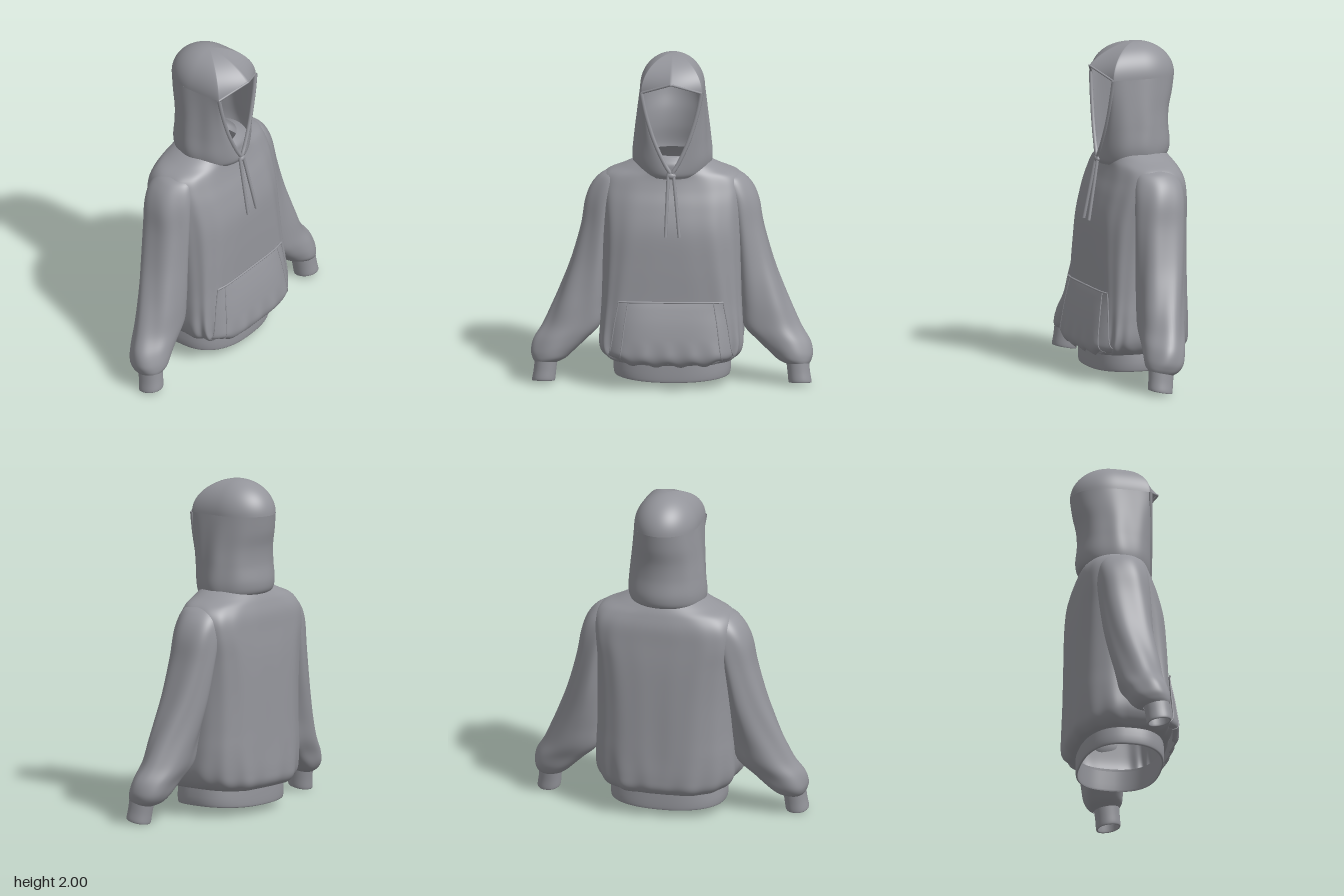
import * as THREE from 'three';

const fabric = new THREE.MeshStandardMaterial({ color: 0x94959b, side: THREE.DoubleSide });
fabric.name = 'grey fabric';

// Smooth interpolation between the rows of a station table
function station(table, t) {
  const last = table.length - 1;
  const i = Math.min(Math.floor(t), last - 1), f = t - i;
  const a = table[Math.max(i - 1, 0)], b = table[i], c = table[i + 1], d = table[Math.min(i + 2, last)];
  return b.map((v, k) => {
    const m0 = (c[k] - a[k]) / 2, m1 = (d[k] - v) / 2;
    return v + f * (m0 + f * (3 * (c[k] - v) - 2 * m0 - m1 + f * (2 * (v - c[k]) + m0 + m1)));
  });
}

// Surface from a rule: point(u, v) for u, v in 0..1; u may wrap around
function surface(name, point, nu, nv, wrap = false, flip = false) {
  const pos = [], idx = [], cols = wrap ? nu : nu + 1;
  for (let j = 0; j <= nv; j++) for (let i = 0; i < cols; i++) pos.push(...point(i / nu, j / nv));
  for (let j = 0; j < nv; j++) for (let i = 0; i < nu; i++) {
    const i2 = (i + 1) % cols;
    const a = j * cols + i, b = j * cols + i2, c = a + cols, d = b + cols;
    if (flip) idx.push(a, c, b, b, c, d);
    else idx.push(a, b, c, b, d, c);
  }
  const g = new THREE.BufferGeometry();
  g.setAttribute('position', new THREE.Float32BufferAttribute(pos, 3));
  g.setIndex(idx);
  g.computeVertexNormals();
  const mesh = new THREE.Mesh(g, fabric);
  mesh.name = name;
  return mesh;
}

function tube(name, pts, r) {
  const curve = new THREE.CatmullRomCurve3(pts.map(p => new THREE.Vector3(...p)));
  const mesh = new THREE.Mesh(new THREE.TubeGeometry(curve, 48, r, 8), fabric);
  mesh.name = name;
  return mesh;
}

const pw = (v, e) => Math.sign(v) * Math.pow(Math.abs(v), e);
// Rounded-box ring: x0..x1, z0..z1, front and back exponents; u = 0 faces the front
function ring(u, x0, x1, z0, z1, nf, nb, k = 1) {
  const a = u * Math.PI * 2, c = Math.cos(a), n = c > 0 ? nf : nb;
  return [(x0 + x1) / 2 + (x1 - x0) / 2 * pw(Math.sin(a), 2 / n) * k,
    (z0 + z1) / 2 + (z1 - z0) / 2 * pw(c, 2 / n) * k];
}

// Torso: y, half width, back z, front z, front exponent, back exponent, gather depth
const TORSO = [
  [0.15, 0.345, -0.25, 0.245, 2.8, 2.6, 0.0],
  [0.16, 0.378, -0.295, 0.262, 4, 2.5, 0.028],
  [0.2, 0.412, -0.328, 0.268, 5.6, 2.4, 0.03],
  [0.27, 0.428, -0.334, 0.262, 6, 2.4, 0.02],
  [0.4, 0.425, -0.328, 0.253, 5.6, 2.6, 0.01],
  [0.54, 0.418, -0.322, 0.248, 4.8, 2.7, 0.007],
  [0.75, 0.415, -0.314, 0.245, 3.8, 2.9, 0.007],
  [0.95, 0.42, -0.304, 0.235, 3.1, 3.3, 0.007],
  [1.1, 0.43, -0.29, 0.2, 2.8, 3.8, 0.006],
  [1.2, 0.43, -0.28, 0.165, 2.6, 3.4, 0.005],
  [1.27, 0.398, -0.26, 0.145, 2.4, 2.7, 0.003],
  [1.315, 0.302, -0.24, 0.14, 2.2, 2.3, 0],
  [1.36, 0.215, -0.21, 0.135, 2, 2, 0],
  [1.395, 0.16, -0.18, 0.1, 2, 2, 0],
];
function torsoPoint(u, v) {
  const [y, w, zb, zf, nf, nb, g] = station(TORSO, v * (TORSO.length - 1));
  const k = 1 + g * Math.cos(u * Math.PI * 28) * (0.7 + 0.3 * Math.sin(u * 17));
  const [x, z] = ring(u, -w, w, zb, zf, nf, nb, k);
  // Hollow down the middle of the back, side corners lifted above the band
  const hollow = z < 0 ? 0.018 * Math.exp(-((x / 0.08) ** 2)) * Math.max(0, 1 - y / 1.2) : 0;
  const lift = 0.03 * Math.pow(Math.abs(x) / 0.42, 4) * Math.max(0, 1 - (y - 0.15) / 0.2);
  return [x, y + lift, z + hollow];
}

// Front pocket, following the torso front with a sagging, gathered bulge
function pocketPoint(s, t) {
  const [y, w, zb, zf, n] = station(TORSO, 1 + 4 * t);
  const half = 0.372 - 0.06 * t * t;
  const x = s * half, zc = (zb + zf) / 2;
  const z = zc + (zf - zc) * Math.pow(1 - Math.pow(Math.abs(x) / w, n), 1 / n);
  const sag = Math.pow(Math.max(0, Math.sin(Math.PI * (0.12 + t * 0.88))), 0.8) * 0.05;
  const low = Math.max(0, 1 - 1.7 * t);
  const fold = 0.01 * Math.cos(s * 16 + 0.6) * low;
  const edge = 1 - Math.pow(Math.abs(s), 4);
  const hem = (0.045 * s ** 4 + 0.012 * Math.cos(s * 16 + 0.6)) * low;
  return [x, y + hem, z + 0.01 + (sag + fold) * edge];
}

// Sleeve: y, inner x, outer x, back z, front z
const SLEEVE = [
  [1.275, 0.32, 0.39, -0.13, 0.02],
  [1.25, 0.29, 0.437, -0.17, 0.06],
  [1.19, 0.29, 0.487, -0.205, 0.08],
  [1.1, 0.32, 0.523, -0.213, 0.09],
  [0.95, 0.35, 0.55, -0.205, 0.098],
  [0.75, 0.37, 0.605, -0.185, 0.108],
  [0.6, 0.385, 0.66, -0.162, 0.12],
  [0.48, 0.4, 0.71, -0.142, 0.13],
  [0.36, 0.42, 0.765, -0.123, 0.138],
  [0.27, 0.51, 0.822, -0.095, 0.15],
  [0.2, 0.585, 0.84, -0.075, 0.158],
  [0.155, 0.635, 0.832, -0.045, 0.158],
  [0.13, 0.685, 0.818, -0.005, 0.148],
];
function sleevePoint(side) {
  return (u, v) => {
    const [y, x0, x1, z0, z1] = station(SLEEVE, v * (SLEEVE.length - 1));
    const k = 1 + 0.045 * Math.sin(Math.PI * v) * Math.sin(u * Math.PI * 10 + v * 9);
    const [x, z] = ring(u, x0, x1, z0, z1, 2.15, 2.15, k);
    // Fuller beside the body, thinner along the outer edge
    const zc = (z0 + z1) / 2;
    const taper = 1 - 0.2 * (1 - v) * (2 * x - x0 - x1) / (x1 - x0);
    return [side * x, y + 0.2 * (z - 0.085) * v * v, zc + (z - zc) * taper];
  };
}

// Cuff: outer wall, hem, inner wall, with a tilted opening
const CUFF = [
  [0.15, 0.682, 0.818, -0.005, 0.147],
  [0.08, 0.69, 0.825, 0.006, 0.152],
  [0.024, 0.696, 0.834, 0.012, 0.158],
  [0.016, 0.703, 0.827, 0.019, 0.151],
  [0.03, 0.708, 0.822, 0.024, 0.146],
  [0.13, 0.7, 0.81, 0.015, 0.135],
];
function cuffPoint(side) {
  return (u, v) => {
    const [y, x0, x1, z0, z1] = station(CUFF, v * (CUFF.length - 1));
    const [x, z] = ring(u, x0, x1, z0, z1, 2.15, 2.15);
    return [side * x, y + 0.2 * (z - 0.085), z];
  };
}

// Hood: y, half width, opening half width, side z, opening z, back z
const HOOD = [
  [1.305, 0.195, 0, -0.03, 0.165, -0.2],
  [1.325, 0.224, 0.002, -0.04, 0.18, -0.25],
  [1.39, 0.236, 0.045, -0.04, 0.176, -0.266],
  [1.5, 0.226, 0.098, -0.05, 0.167, -0.256],
  [1.6, 0.215, 0.133, -0.05, 0.16, -0.262],
  [1.7, 0.204, 0.16, -0.055, 0.155, -0.285],
  [1.8, 0.193, 0.18, -0.06, 0.15, -0.3],
];
// q = 0 at the right edge of the opening, 1 at the left edge
function hoodPoint(q, v) {
  const [y, a, w, zc, zf, zb] = station(HOOD, v * (HOOD.length - 1));
  const ang = q * Math.PI * 2, s = Math.sin(ang), c = Math.cos(ang);
  const side = q < 0.5 ? -1 : 1;
  const front = c > 0;
  const k = 1 + 0.018 * Math.cos(ang * 8) * s * s * Math.sin(Math.PI * v);
  const x = front ? w + (a - w) * Math.abs(s) : a * Math.abs(s);
  const z = zc + (front ? zf - zc : zc - zb) * c;
  return [side * x * k, y - 0.1 * (z + 0.15) * (1 - v) ** 3, z * k];
}
// Crown rim: the visor peak joined to the top row of the hood
function rimPoint(u) {
  const [, , w, , zf] = HOOD[HOOD.length - 1];
  const part = 0.15;
  if (u < part || u > 1 - part) {
    const s = (u < part ? -u : 1 - u) / part, m = Math.abs(s);
    return [s * w, 1.87 - 0.07 * m, 0.235 + (zf - 0.235) * m, 1 - m];
  }
  return [...hoodPoint((u - part) / (1 - 2 * part), 1), 0];
}
function crownPoint(u, v) {
  const [x, y, z, f] = rimPoint(u);
  const t = v * Math.PI / 2, sn = Math.sin(t);
  const h = THREE.MathUtils.lerp(Math.cos(t), 1 - sn, f * 0.4);
  return [x * h, y + (2 - y) * sn, -0.06 + (z + 0.06) * h];
}

// Waistband: y, half width, half depth down the outer wall and up the inner wall
const BAND = [[0.19, 0.34, 0.25], [0.1, 0.35, 0.252], [0.052, 0.347, 0.25],
  [0.046, 0.34, 0.243], [0.055, 0.335, 0.238], [0.17, 0.33, 0.235]];
function bandPoint(u, v) {
  const [y, w, d] = station(BAND, v * (BAND.length - 1));
  const [x, z] = ring(u, -w, w, -d, d, 2.5, 2.5);
  return [x, y + 0.014 * (x / w) ** 2, z];
}

export function createModel() {
  const model = new THREE.Group();
  model.name = 'hooded sweatshirt';
  model.add(surface('torso', torsoPoint, 168, 78, true));
  model.add(surface('waistband', bandPoint, 72, 15, true, true));

  // Pocket with hemmed edges
  const pocket = new THREE.Group();
  pocket.name = 'pocket';
  pocket.add(surface('pocketPanel', (u, v) => pocketPoint(u * 2 - 1, v), 64, 28));
  const steps = [...Array(11).keys()].map(i => i / 10);
  for (const s of [-1, -0.82, 0.82, 1]) {
    pocket.add(tube('pocketSeam', steps.map(t => pocketPoint(s, t)), 0.004));
  }
  pocket.add(tube('pocketTopSeam', steps.map(t => pocketPoint(t * 2 - 1, 1)), 0.006));
  model.add(pocket);

  // Sleeves and cuffs
  for (const side of [-1, 1]) {
    const arm = new THREE.Group();
    arm.name = side > 0 ? 'leftArm' : 'rightArm';
    arm.add(surface('sleeve', sleevePoint(side), 60, 60, true, side > 0));
    arm.add(surface('cuff', cuffPoint(side), 36, 20, true, side > 0));
    model.add(arm);
  }

  // Hood with a pointed visor and a rolled hem round the face opening
  const hood = new THREE.Group();
  hood.name = 'hood';
  hood.add(surface('hoodSides', hoodPoint, 96, 40, false, true));
  hood.add(surface('hoodCrown', crownPoint, 120, 24, true, true));
  for (const q of [0, 1]) {
    hood.add(tube('openingHem', steps.map(t => hoodPoint(q, 0.12 + 0.88 * t)), 0.012));
  }
  for (const side of [-1, 1]) {
    hood.add(tube('visorHem', [[0, 1.87, 0.231], [side * 0.09, 1.835, 0.19], [side * 0.18, 1.8, 0.15]], 0.007));
  }
  model.add(hood);

  // Drawstrings and their knot
  const strings = new THREE.Group();
  strings.name = 'drawstrings';
  for (const [x0, x1] of [[-0.018, -0.032], [0.012, 0.05]]) {
    strings.add(tube('drawstring', [[x0, 1.315, 0.182], [x0 * 0.6 + x1 * 0.4, 1.17, 0.21], [x1, 0.94, 0.255]], 0.01));
  }
  const knot = new THREE.Mesh(new THREE.SphereGeometry(0.024, 16, 12), fabric);
  knot.name = 'knot';
  knot.scale.set(1.2, 0.8, 0.7);
  knot.position.set(0, 1.3, 0.182);
  strings.add(knot);
  model.add(strings);

  return model;
}
